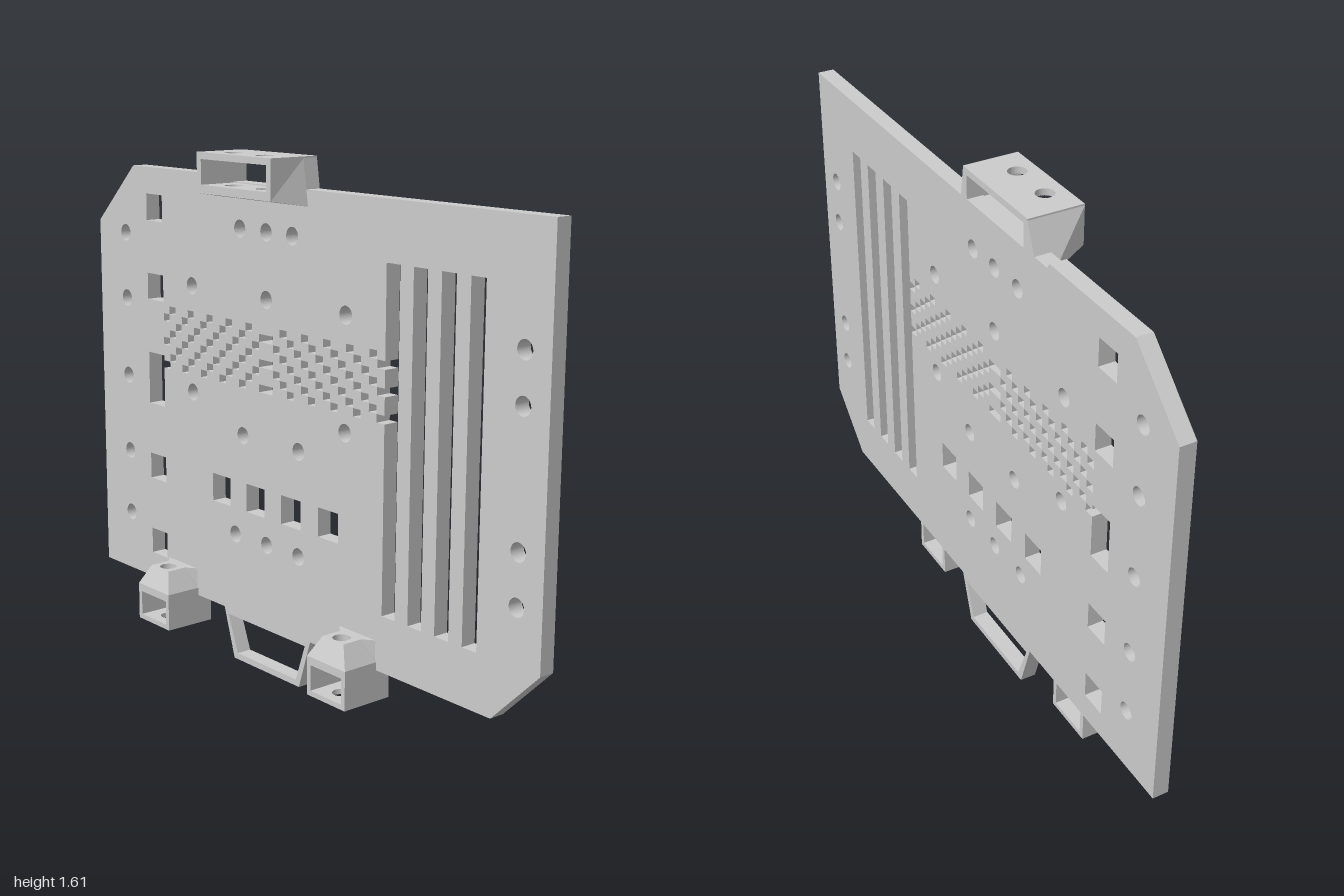
import * as THREE from 'three';
import { ConvexGeometry } from 'three/addons/geometries/ConvexGeometry.js';

const BACK = -0.085, FACE = -0.035, FRONT = 0.085;
const material = new THREE.MeshStandardMaterial({ color: 0xcccccc, flatShading: true });

const V2 = (p) => p.map(([x, y]) => new THREE.Vector2(x, y));
const rect = (x0, x1, y0, y1) => new THREE.Path(V2([[x0, y0], [x1, y0], [x1, y1], [x0, y1], [x0, y0]]));
const circle = (x, y, r = 0.027) => new THREE.Path().absarc(x, y, r, 0, Math.PI * 2);

function add(group, name, geometry) {
  const mesh = new THREE.Mesh(geometry, material);
  mesh.name = name;
  group.add(mesh);
  return mesh;
}

function extrude(points, holes, depth) {
  const shape = new THREE.Shape(V2(points));
  shape.holes = holes;
  return new THREE.ExtrudeGeometry(shape, { depth, bevelEnabled: false, curveSegments: 20 });
}

function box(x0, x1, y0, y1, z0, z1) {
  return new THREE.BoxGeometry(x1 - x0, y1 - y0, z1 - z0)
    .translate((x0 + x1) / 2, (y0 + y1) / 2, (z0 + z1) / 2);
}

// Horizontal slab with vertical drill holes given as [x, z]
function drilledSlab(x0, x1, y0, y1, z0, z1, drills) {
  const pts = [[x0, -z1], [x1, -z1], [x1, -z0], [x0, -z0]];
  return extrude(pts, drills.map(([x, z]) => circle(x, -z)), y1 - y0)
    .rotateX(-Math.PI / 2).translate(0, y0, 0);
}

// Move every vertex by a rule
function warp(geometry, rule) {
  const p = geometry.attributes.position, v = new THREE.Vector3();
  for (let i = 0; i < p.count; i++) {
    rule(v.fromBufferAttribute(p, i));
    p.setXYZ(i, v.x, v.y, v.z);
  }
  geometry.computeVertexNormals();
  return geometry;
}

function plateHoles() {
  const holes = [];
  // Round holes: [y, x...]
  [
    [1.375, -0.245, -0.12, 0], [1.175, -0.49, -0.12, 0.235, 0.91], [0.835, -0.85, -0.49, 0.235],
    [0.74, -0.235, 0.03], [0.415, -0.275, -0.12, 0.03], [1.31, -0.85], [1.095, -0.85],
    [0.575, -0.85], [0.36, -0.85], [1.03, 0.91], [0.645, 0.91], [0.495, 0.91],
  ].forEach(([y, ...xs]) => xs.forEach((x) => holes.push(circle(x, y))));

  // Square windows: a column and a row
  for (const y of [1.36, 1.105, 0.505, 0.245]) holes.push(rect(-0.73, -0.645, y, y + 0.085));
  for (let i = 0; i < 4; i++) holes.push(rect(-0.39 + i * 0.17, -0.3 + i * 0.17, 0.5, 0.59));

  // Tall slots
  for (let i = 1; i < 4; i++) holes.push(rect(0.4 + i * 0.106, 0.454 + i * 0.106, 0.33, 1.34));

  // Mirrored diagonal grille, eight rows of small cells
  const left = -0.645, w = 1.045 / 32, h = 0.0257, gap = 0.0006;
  const rowY = (r) => [1.095 - (r + 1) * h + gap, 1.095 - r * h - gap];
  for (let r = 0; r < 8; r++) {
    const [y0, y1] = rowY(r);
    for (let c = 0; c < 16; c++) {
      if ((c + r) % 3 !== 1) continue;
      const x = left + c * w, m = left + (31 - c) * w;
      if (c === 15) holes.push(rect(x + gap, m + w - gap, y0, y1));
      else {
        if (!(c === 0 && r === 7)) holes.push(rect(x + gap, x + w - gap, y0, y1));
        if (c > 0) holes.push(rect(m + gap, m + w - gap, y0, y1));
      }
    }
  }

  // First slot, with the grille's edge cells opening into it
  const slot = [[0.454, 0.33], [0.454, 1.34], [0.4, 1.34]];
  for (const r of [1, 4, 7]) {
    const [y0, y1] = rowY(r), x = 0.4 - w + gap;
    slot.push([0.4, y1], [x, y1], [x, y0], [0.4, y0]);
  }
  slot.push([0.4, 0.33], [0.454, 0.33]);
  holes.push(new THREE.Path(V2(slot)));

  // Long window joined to the lowest grille row
  const [n0, n1] = rowY(7), nx = left + w - gap;
  holes.push(new THREE.Path(V2([[-0.73, 0.76], [left, 0.76], [left, n0], [nx, n0], [nx, n1],
    [left, n1], [left, 0.93], [-0.73, 0.93], [-0.73, 0.76]])));
  return holes;
}

function topBracket() {
  const g = new THREE.Group();
  g.name = 'topBracket';
  const x0 = -0.295, x1 = 0.05, drills = [[-0.195, 0.025], [-0.05, 0.025]];
  // Lower edges drop and spread towards the plate
  const flare = (v) => {
    if (v.y > 1.5) return;
    const f = Math.min(1, (FRONT - v.z) / (FRONT - FACE));
    v.y -= 0.02 * f;
    if (v.x < x0 + 0.001) v.x -= 0.055 * f;
    if (v.x > x1 - 0.001) v.x += 0.02 * f;
  };
  add(g, 'bracketTop', drilledSlab(x0, x1, 1.585, 1.605, BACK, FRONT, drills));
  add(g, 'bracketFloor', warp(drilledSlab(-0.275, 0.03, 1.485, 1.51, FACE, FRONT, drills), flare));
  for (const [a, b] of [[x0, -0.275], [0.03, x1]]) {
    for (const [z0, z1] of [[FACE, FRONT], [BACK, FACE]]) {
      add(g, 'bracketSide', warp(box(a, b, 1.485, 1.6, z0, z1).toNonIndexed(), flare));
    }
  }
  return g;
}

function lowerBracket(x) {
  const g = new THREE.Group();
  g.name = 'lowerBracket';
  const w = 0.083, t = 0.016, zc = 0.025;
  add(g, 'bracketFloor', drilledSlab(-w, w, 0.065, 0.081, BACK, FRONT, [[0, zc]]));
  add(g, 'bracketRoof', drilledSlab(-w, w, 0.16, 0.185, FACE, FRONT, [[0, zc]]));
  for (const s of [-1, 1]) {
    add(g, 'bracketSide', box(Math.min(s * w, s * (w - t)), Math.max(s * w, s * (w - t)),
      0.081, 0.185, BACK, FRONT));
  }
  // Tapered boss around the drill hole
  add(g, 'taperedBoss', warp(drilledSlab(-w, w, 0.185, 0.25, FACE, FRONT, [[0, zc]]), (v) => {
    if (v.y < 0.2 || Math.abs(v.x) < w - 0.001) return;
    v.x *= 0.55;
    v.z = zc + (v.z - zc) * 0.55;
  }));
  // Web tying the boss to the plate
  const web = [];
  for (const s of [-1, 1]) {
    web.push(new THREE.Vector3(s * 0.045, 0.25, -0.008), new THREE.Vector3(s * 0.078, 0.25, FACE),
      new THREE.Vector3(s * 0.078, 0.19, FACE));
  }
  add(g, 'web', new ConvexGeometry(web));
  g.position.x = x;
  return g;
}

export function createModel() {
  const model = new THREE.Group();
  model.name = 'mountingPanel';

  // Perforated plate with clipped corners
  const outline = [[-1, 0.16], [0.83, 0.16], [1, 0.33], [1, 1.513], [-0.395, 1.513],
    [-0.405, 1.53], [-0.8, 1.53], [-1, 1.34]];
  add(model, 'plate', extrude(outline, plateHoles(), FACE - BACK).translate(0, 0, BACK));

  // Trapezoid loop under the plate
  const loop = [[-0.335, 0.16], [-0.285, 0], [0.035, 0], [0.087, 0.16]];
  const opening = new THREE.Path(V2([[-0.315, 0.14], [-0.268, 0.02], [0.02, 0.02], [0.062, 0.14], [-0.315, 0.14]]));
  add(model, 'lowerLoop', extrude(loop, [opening], FACE - BACK).translate(0, 0, BACK));

  model.add(topBracket(), lowerBracket(-0.558), lowerBracket(0.297));
  return model;
}
